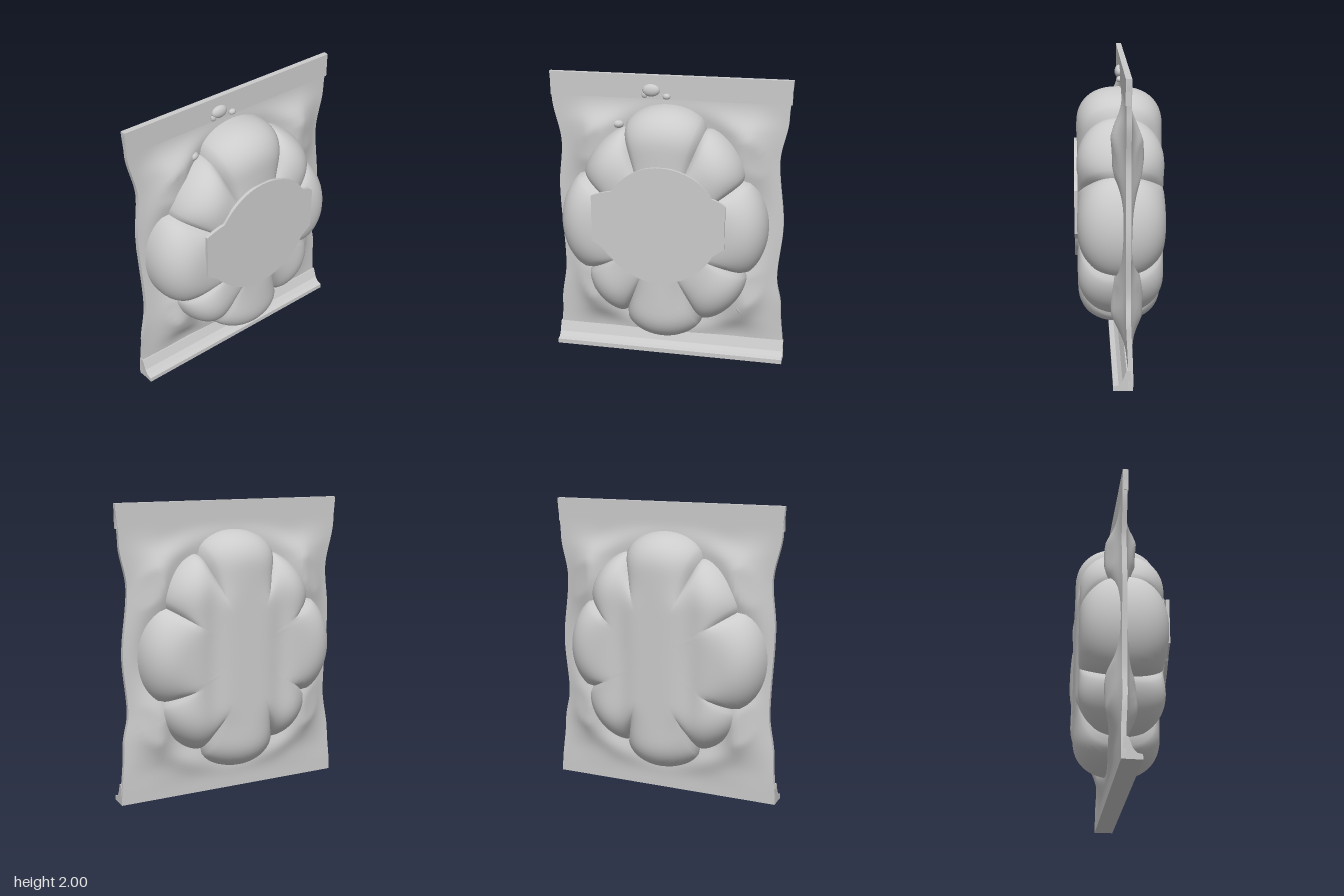
import * as THREE from 'three';
import { toCreasedNormals } from 'three/addons/utils/BufferGeometryUtils.js';

const material = new THREE.MeshStandardMaterial({ color: 0xcccccc, side: THREE.DoubleSide });
const { lerp, clamp, smoothstep, degToRad } = THREE.MathUtils;

// Skin a list of closed rings (equal point counts) into one surface
function loft(rings, crease) {
  const n = rings[0].length, index = [];
  for (let j = 0; j < rings.length - 1; j++) {
    for (let i = 0; i < n; i++) {
      const a = j * n + i, b = j * n + (i + 1) % n;
      index.push(a, b, b + n, a, b + n, a + n);
    }
  }
  const geo = new THREE.BufferGeometry();
  geo.setAttribute('position', new THREE.Float32BufferAttribute(rings.flat(2), 3));
  geo.setIndex(index);
  return toCreasedNormals(geo, crease);
}

function add(group, name, geo, x = 0, y = 0, z = 0) {
  const mesh = new THREE.Mesh(geo, material);
  mesh.name = name;
  mesh.position.set(x, y, z);
  group.add(mesh);
  return mesh;
}

// Piecewise smooth lookup in a [key, value] table
function sample(table, k) {
  for (let i = 1; i < table.length; i++) {
    const [k0, v0] = table[i - 1], [k1, v1] = table[i];
    if (k <= k1) return lerp(v0, v1, smoothstep(k, k0, k1));
  }
  return table[table.length - 1][1];
}

const bump = (x, y, cx, cy, sx, sy) =>
  Math.exp(-(((x - cx) / sx) ** 2) - ((y - cy) / sy) ** 2);

// Scalloped cushion: eight lobes around a flat centre
function cushionGeometry() {
  // groove angle (deg), groove radius, peak radius of the lobe that follows
  const lobes = [
    [-28, 0.64, 0.71], [33, 0.64, 0.735], [68, 0.73, 0.83], [112, 0.72, 0.715],
    [148, 0.65, 0.725], [213, 0.63, 0.715], [248, 0.70, 0.82], [292, 0.71, 0.73], [332, 0.64],
  ];
  const outline = [], steps = 20;
  for (let k = 0; k < 8; k++) {
    const [a0, g0, peak] = lobes[k], [a1, g1] = lobes[k + 1];
    for (let i = 0; i < steps; i++) {
      const t = i / steps, b = Math.pow(1 - (2 * t - 1) ** 2, 0.55);
      outline.push({
        angle: degToRad(lerp(a0, a1, t)),
        radius: lerp(g0, g1, t) + (peak - (g0 + g1) / 2) * b,
        b,
      });
    }
  }
  // Side profile from back centre to front centre: [inner fraction, rim angle]
  const profile = [];
  for (let i = 0; i <= 10; i++) profile.push([i / 10, -Math.PI / 2]);
  for (let i = 1; i < 24; i++) profile.push([1, -Math.PI / 2 + Math.PI * i / 24]);
  for (let i = 10; i >= 0; i--) profile.push([i / 10, Math.PI / 2]);
  const rim = 0.25, square = 0.86;
  const rings = profile.map(([f, phi]) => outline.map(({ angle, radius, b }) => {
    const r = (radius - rim) * f + rim * Math.pow(Math.max(0, Math.cos(phi)), square);
    const x = r * Math.cos(angle), y = r * Math.sin(angle);
    const front = phi > 0;
    const groove = (1 - b) * (front ? 0.3 * smoothstep(r, 0.25, 0.6) : 0.28 * smoothstep(r, 0.36, 0.64));
    const height = Math.sign(phi) * Math.pow(Math.abs(Math.sin(phi)), square);
    let z = height * (front ? 0.28 : 0.295) * (1 - groove);
    // long shallow valleys down the back
    if (!front) z -= 0.022 * height *
      (bump(x, y, 0.25, 0, 0.08, 0.6) + bump(x, y, -0.25, 0, 0.08, 0.6));
    return [x, y, z];
  }));
  return loft(rings, 0.7);
}

// Wrinkled pouch: thin sheet with swollen corners and wavy sides
function pouchGeometry() {
  const left = [[0, -0.82], [0.3, -0.80], [0.62, -0.76], [1.2, -0.785], [1.5, -0.76], [1.84, -0.82], [2, -0.83]];
  const right = [[0, 0.82], [0.4, 0.79], [0.62, 0.755], [1.0, 0.785], [1.45, 0.745], [1.75, 0.795], [2, 0.815]];
  const frontSwells = [[-0.5, 1.48], [0.55, 1.45], [-0.52, 0.55], [0.55, 0.58]];
  const backSwells = [[-0.6, 1.48], [0.6, 1.45], [-0.6, 0.55], [0.6, 0.55]];
  const cols = 48, rows = 80, rings = [];
  // one extra ring at each end closes the sheet
  for (let j = -1; j <= rows + 1; j++) {
    const y = 2 * clamp(j / rows, 0, 1), ring = [];
    const open = j < 0 || j > rows ? 0 : 1;
    const x0 = sample(left, y), x1 = sample(right, y);
    const calm = smoothstep(y, 0.04, 0.3) * (1 - smoothstep(y, 1.65, 1.86));
    for (const side of [1, -1]) {
      for (let i = 0; i <= cols; i++) {
        const s = side > 0 ? i / cols : 1 - i / cols, x = lerp(x0, x1, s);
        const edge = Math.min(1, 8 * s * (1 - s));
        let swell = 0;
        for (const [cx, cy] of side > 0 ? frontSwells : backSwells) swell += bump(x, y, cx, cy, 0.2, 0.26);
        // film drawn up around the cushion
        const ringGap = Math.hypot(x / 0.74, (y - 0.98) / 0.85) - 1;
        swell = Math.min(1, swell + 0.3 * Math.exp(-((ringGap / 0.1) ** 2))) * edge * calm;
        const fold = 0.008 * Math.sin(9 * (Math.abs(x) + y)) * edge * calm;
        const middle = -0.038 - 0.014 * (1 - smoothstep(y, 0.1, 0.5));
        ring.push([x, y, middle + fold + open * side * (0.016 + 0.085 * swell)]);
      }
    }
    rings.push(ring);
  }
  return loft(rings, 0.8);
}

// Label with a domed top, straight sides and a rounded base
function labelGeometry() {
  const shape = new THREE.Shape();
  shape.moveTo(0.43, 0.93);
  shape.lineTo(0.43, 1.22);
  shape.quadraticCurveTo(0.41, 1.25, 0.34, 1.27);
  shape.bezierCurveTo(0.27, 1.40, 0.12, 1.46, -0.01, 1.46);
  shape.bezierCurveTo(-0.14, 1.46, -0.25, 1.39, -0.33, 1.28);
  shape.quadraticCurveTo(-0.40, 1.27, -0.47, 1.24);
  shape.lineTo(-0.47, 0.92);
  shape.quadraticCurveTo(-0.40, 0.89, -0.37, 0.84);
  shape.bezierCurveTo(-0.24, 0.70, -0.14, 0.65, -0.01, 0.65);
  shape.bezierCurveTo(0.12, 0.65, 0.28, 0.73, 0.35, 0.87);
  shape.quadraticCurveTo(0.39, 0.90, 0.43, 0.93);
  return new THREE.ExtrudeGeometry(shape, { depth: 0.022, bevelEnabled: false, curveSegments: 16 });
}

// Folded bottom strip: a (z, y) cross-section run along the width
function bottomSealGeometry(width) {
  const section = [[-0.066, 0], [0.06, 0], [0.06, 0.032], [0.025, 0.04], [0.0, 0.07], [-0.025, 0.14], [-0.05, 0.14]];
  const shape = new THREE.Shape(section.map(([z, y]) => new THREE.Vector2(-z, y)));
  const geo = new THREE.ExtrudeGeometry(shape, { depth: width, bevelEnabled: false });
  return geo.translate(0, 0, -width / 2).rotateY(Math.PI / 2);
}

export function createModel() {
  const model = new THREE.Group();
  model.name = 'pouchWithCushion';

  add(model, 'pouch', pouchGeometry());
  add(model, 'cushion', cushionGeometry(), -0.02, 0.98, 0);
  add(model, 'label', labelGeometry(), 0, 0, 0.274);

  // Sealed strips along the top and bottom
  add(model, 'topSeal', new THREE.BoxGeometry(1.635, 0.16, 0.03), -0.007, 1.92, -0.031);
  add(model, 'bottomSeal', bottomSealGeometry(1.635)).rotation.z = 0;

  // Small beads and puckers in the film: x, y, z, rx, ry, rz, tilt
  const beads = [
    [-0.125, 1.9, -0.01, 0.06, 0.042, 0.028, 0], [-0.02, 1.862, -0.01, 0.026, 0.02, 0.02, 0],
    [-0.17, 1.87, -0.012, 0.02, 0.025, 0.015, 0], [-0.35, 1.665, 0, 0.04, 0.03, 0.035, 0],
    [0.5, 0.39, 0.015, 0.022, 0.06, 0.04, 0.5],
  ];
  for (const [x, y, z, rx, ry, rz, tilt] of beads) {
    const bead = add(model, 'bead', new THREE.SphereGeometry(1, 16, 12), x, y, z);
    bead.scale.set(rx, ry, rz);
    bead.rotation.z = tilt;
  }
  return model;
}
